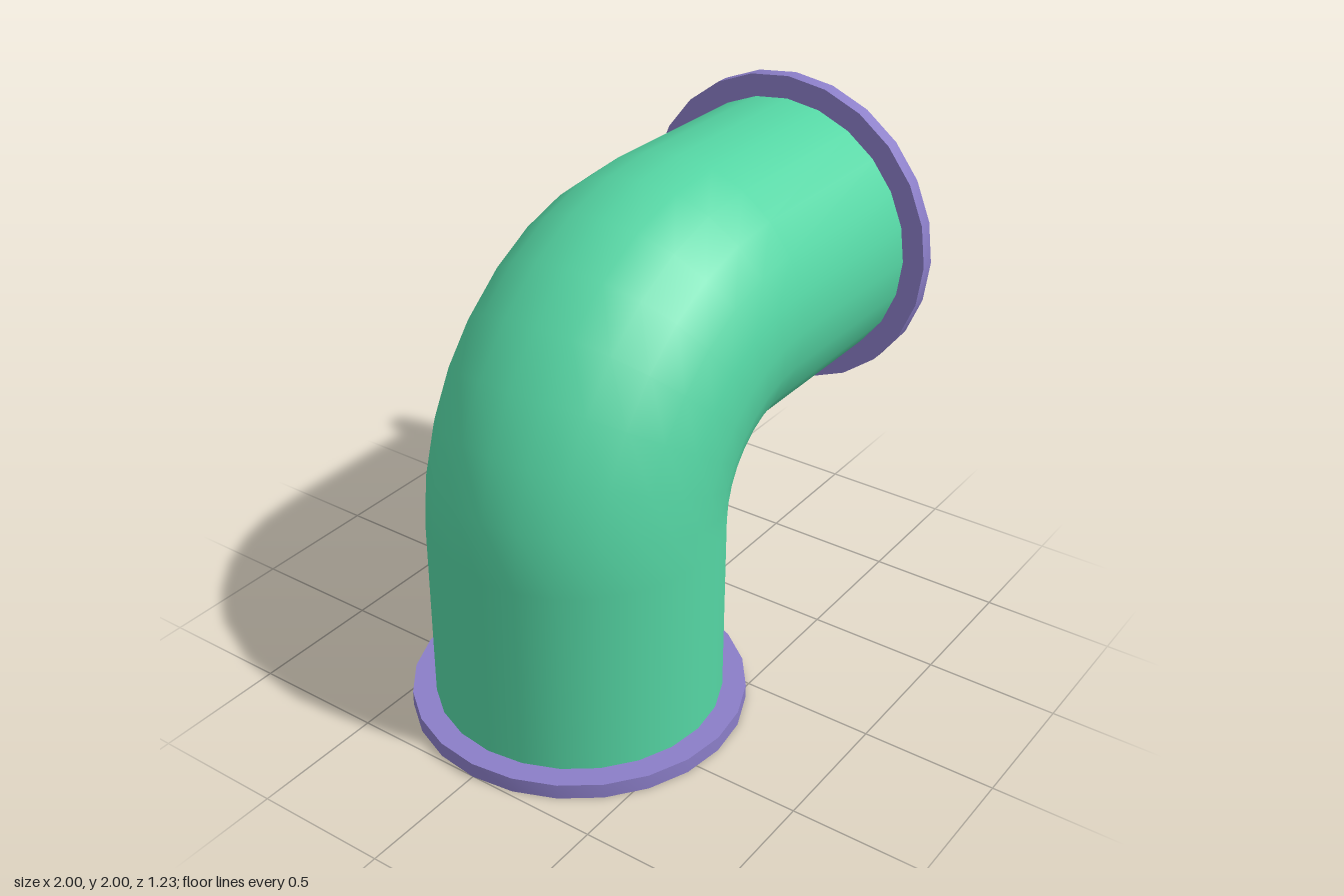
import * as THREE from 'three';
import { toCreasedNormals } from 'three/addons/utils/BufferGeometryUtils.js';

const SIDES = 24, BEND_STEPS = 8;
const AXIS_X = -0.385, AXIS_Y = 1.385;   // centre lines of the two straight legs
const BEND = 0.615;                      // radius of the elbow's centre line
const OUTER = 0.53, BORE = 0.45, FLANGE = 0.617, THICK = 0.057;

// Sweeps a circle up the vertical leg, round the elbow and out along +x
function elbowTube(radius, inward) {
  const cx = AXIS_X + BEND, cy = AXIS_Y - BEND;
  const stations = [{ t: 0, dx: 0, dy: -cy }];
  for (let i = 0; i <= BEND_STEPS; i++) stations.push({ t: (i / BEND_STEPS) * Math.PI / 2, dx: 0, dy: 0 });
  stations.push({ t: Math.PI / 2, dx: 1 - cx, dy: 0 });

  const pos = [], nor = [], idx = [], sign = inward ? -1 : 1;
  for (const { t, dx, dy } of stations) {
    const ex = -Math.cos(t), ey = Math.sin(t);
    for (let j = 0; j <= SIDES; j++) {
      const a = (j / SIDES) * Math.PI * 2, c = Math.cos(a), s = Math.sin(a);
      pos.push(cx + dx + ex * (BEND + radius * c), cy + dy + ey * (BEND + radius * c), radius * s);
      nor.push(sign * ex * c, sign * ey * c, sign * s);
    }
  }
  const row = SIDES + 1;
  for (let i = 0; i < stations.length - 1; i++) {
    for (let j = 0; j < SIDES; j++) {
      const a = i * row + j, b = a + 1, c = a + row, d = c + 1;
      if (inward) idx.push(a, c, b, b, c, d);
      else idx.push(a, b, c, b, d, c);
    }
  }
  const g = new THREE.BufferGeometry();
  g.setAttribute('position', new THREE.Float32BufferAttribute(pos, 3));
  g.setAttribute('normal', new THREE.Float32BufferAttribute(nor, 3));
  g.setIndex(idx);
  return g;
}

export function createModel() {
  const group = new THREE.Group();
  const green = new THREE.MeshStandardMaterial({ color: 0x55d6a4 });
  const purple = new THREE.MeshStandardMaterial({ color: 0x8b7ec8 });

  const add = (name, geometry, material) => {
    const mesh = new THREE.Mesh(geometry, material);
    mesh.name = name;
    group.add(mesh);
    return mesh;
  };

  // Pipe wall: outside skin and bore
  add('pipeOuterWall', elbowTube(OUTER, false), green);
  add('pipeBore', elbowTube(BORE, true), green);

  // Flange ring; the bore lines its hole
  const profile = [[BORE, 0], [FLANGE, 0], [FLANGE, THICK], [OUTER - 0.01, THICK]]
    .map(([x, y]) => new THREE.Vector2(x, y));
  const ring = toCreasedNormals(new THREE.LatheGeometry(profile, SIDES), 0.6);

  add('bottomFlange', ring, purple).position.set(AXIS_X, 0, 0);
  const side = add('sideFlange', ring, purple);
  side.position.set(1, AXIS_Y, 0);
  side.rotation.z = Math.PI / 2;

  return group;
}
